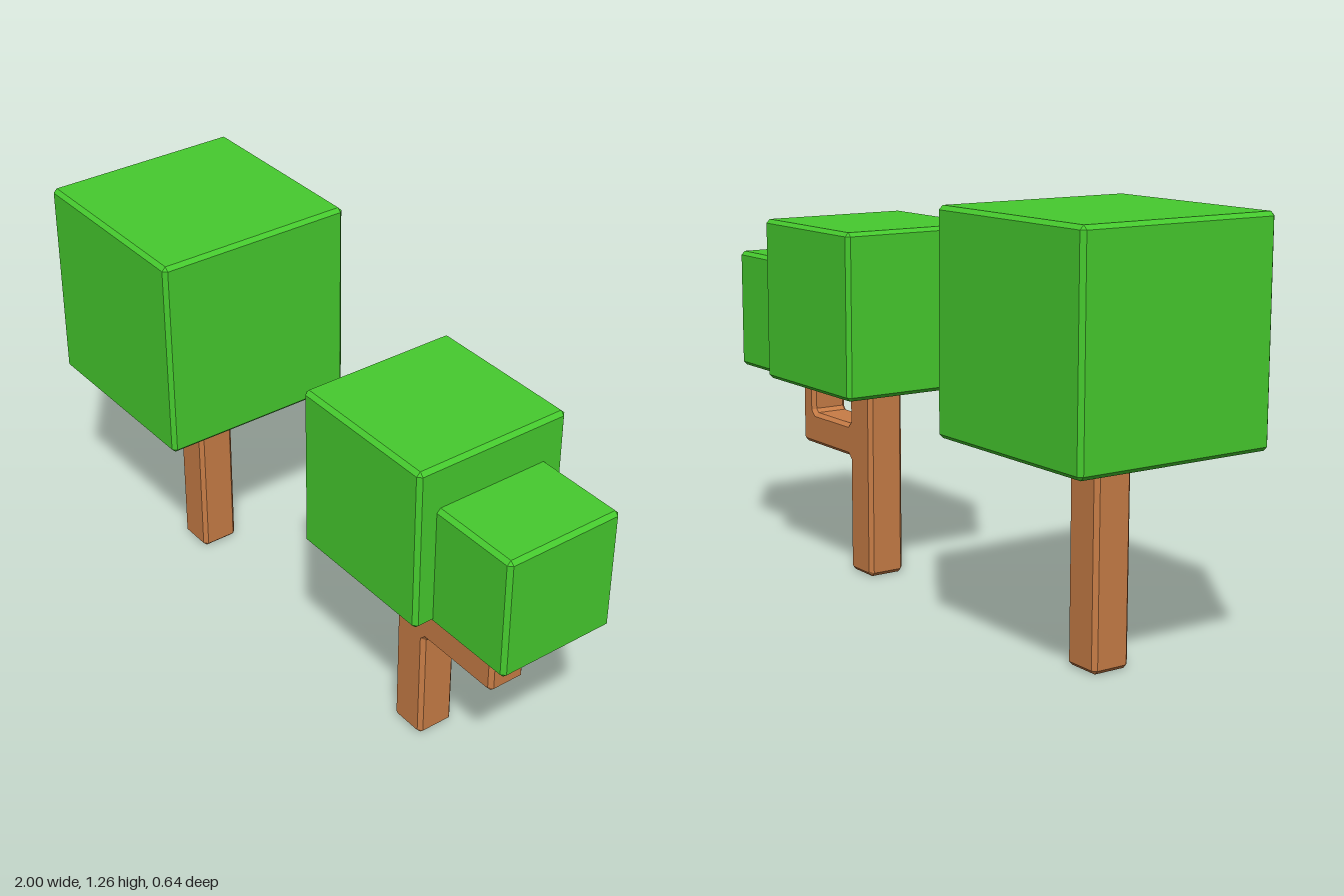
import * as THREE from 'three';
import { ConvexGeometry } from 'three/addons/geometries/ConvexGeometry.js';

const green = new THREE.MeshStandardMaterial({ color: 0x46cb2e, flatShading: true });
const brown = new THREE.MeshStandardMaterial({ color: 0xc87d46, flatShading: true });
const CHAMFER = 0.012;

// Box with every edge and corner cut flat, given by its x and y limits and depth
function chamferBox(name, material, [x0, x1], [y0, y1], depth, c = CHAMFER) {
  const half = [(x1 - x0) / 2, (y1 - y0) / 2, depth / 2];
  const points = [];
  for (let axis = 0; axis < 3; axis++) {
    for (const sx of [-1, 1]) for (const sy of [-1, 1]) for (const sz of [-1, 1]) {
      const p = half.map((h, i) => (i === axis ? h : h - c));
      points.push(new THREE.Vector3(p[0] * sx, p[1] * sy, p[2] * sz));
    }
  }
  const mesh = new THREE.Mesh(new ConvexGeometry(points), material);
  mesh.name = name;
  mesh.position.set((x0 + x1) / 2, (y0 + y1) / 2, 0);
  return mesh;
}

// Outline with each corner cut by c, extruded along z with bevelled rims
function chamferExtrude(name, material, corners, depth, c = CHAMFER) {
  const pts = corners.map(([x, y]) => new THREE.Vector2(x, y));
  const outline = [];
  pts.forEach((p, i) => {
    for (const q of [pts.at(i - 1), pts[(i + 1) % pts.length]]) {
      outline.push(p.clone().add(q.clone().sub(p).setLength(c)));
    }
  });
  const geometry = new THREE.ExtrudeGeometry(new THREE.Shape(outline), {
    depth: depth - 2 * c, bevelEnabled: true, bevelSegments: 1,
    bevelSize: c, bevelThickness: c, bevelOffset: -c,
  });
  geometry.translate(0, 0, -depth / 2 + c);
  const mesh = new THREE.Mesh(geometry, material);
  mesh.name = name;
  return mesh;
}

export function createModel() {
  const model = new THREE.Group();
  model.name = 'trees';

  // Tall tree with a single crown
  const tallTree = new THREE.Group();
  tallTree.name = 'tallTree';
  tallTree.add(
    chamferBox('trunk', brown, [-0.745, -0.622], [0, 0.66], 0.123),
    chamferBox('crown', green, [-1, -0.365], [0.625, 1.26], 0.636),
  );

  // Forked tree: trunk and elbow branch in one piece, two crowns
  const forkedTree = new THREE.Group();
  forkedTree.name = 'forkedTree';
  const fork = [
    [0.4, 0], [0.523, 0], [0.523, 0.373], [0.818, 0.373], [0.818, 0.66],
    [0.75, 0.66], [0.75, 0.478], [0.523, 0.478], [0.523, 0.66], [0.4, 0.66],
  ];
  forkedTree.add(
    chamferExtrude('forkedTrunk', brown, fork, 0.123),
    chamferBox('largeCrown', green, [0.21, 0.712], [0.62, 1.128], 0.502),
    chamferBox('smallCrown', green, [0.622, 1], [0.615, 0.995], 0.378),
  );

  model.add(tallTree, forkedTree);
  return model;
}
